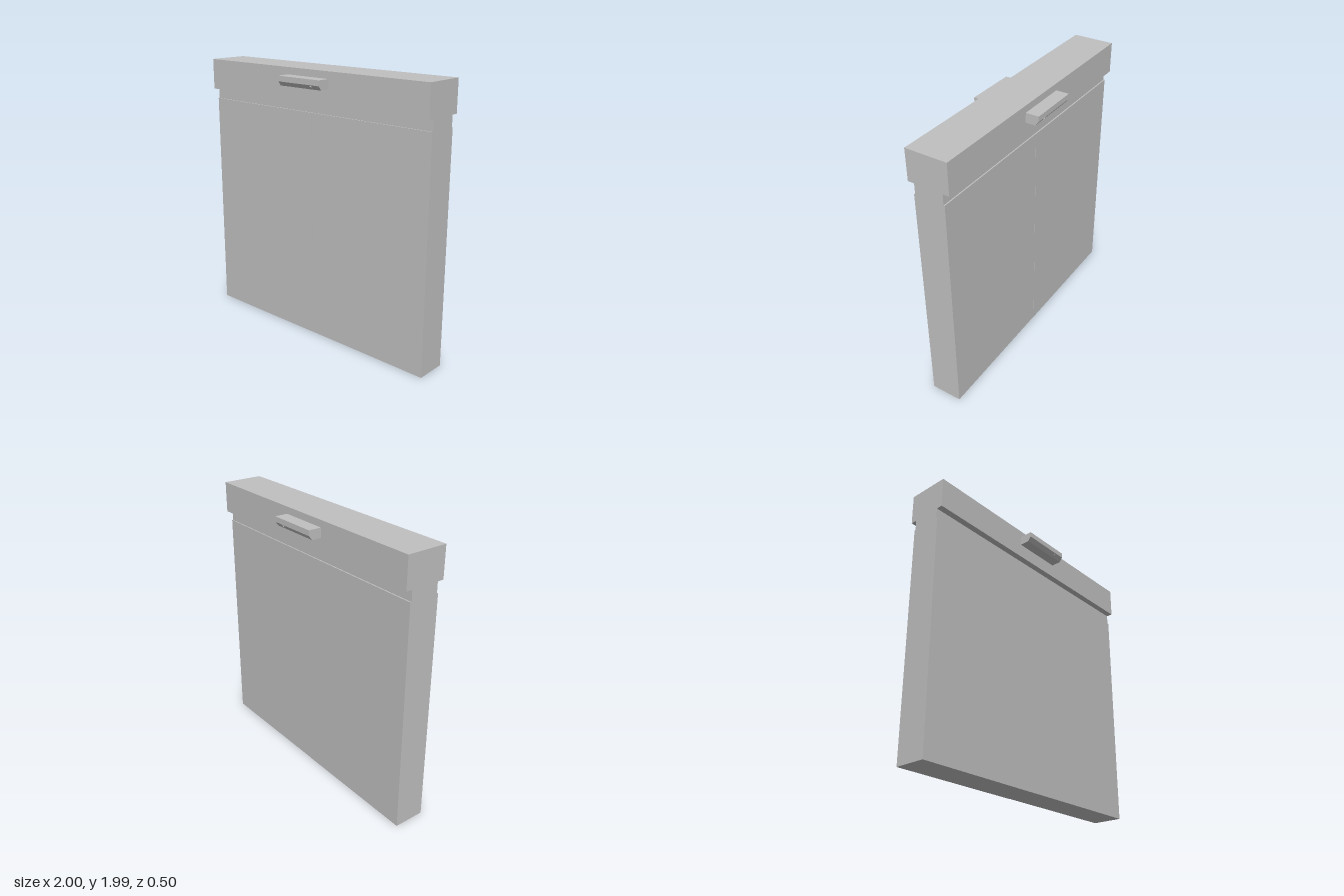
import * as THREE from 'three';

const grey = new THREE.MeshStandardMaterial({ color: 0xc0c0c0 });
grey.name = 'light grey';

// Box from y0 to y1, centred on z = 0
function slab(name, x0, x1, y0, y1, depth) {
  const mesh = new THREE.Mesh(new THREE.BoxGeometry(x1 - x0, y1 - y0, depth), grey);
  mesh.name = name;
  mesh.position.set((x0 + x1) / 2, (y0 + y1) / 2, 0);
  return mesh;
}

// Chamfered sensor housing with a small indicator; side is +1 front, -1 back
function sensor(side) {
  const group = new THREE.Group();
  group.name = side > 0 ? 'frontSensor' : 'backSensor';

  // Profile in (z, y), swept along x
  const points = [[0.15, 1.866], [0.223, 1.866], [0.248, 1.897], [0.248, 1.936], [0.15, 1.936]]
    .map(([z, y]) => new THREE.Vector2(z * side, y));
  const geometry = new THREE.ExtrudeGeometry(new THREE.Shape(points), { depth: 0.38, bevelEnabled: false });
  geometry.rotateY(-Math.PI / 2).translate(0.19, 0, 0);
  const housing = new THREE.Mesh(geometry, grey);
  housing.name = 'sensorHousing';

  // Indicator dot on the sloping face
  const dot = new THREE.Mesh(new THREE.CylinderGeometry(0.01, 0.01, 0.008, 12), grey);
  dot.name = 'indicator';
  dot.position.set(0.11, 1.885, 0.239 * side);
  dot.rotation.x = side * (Math.PI / 2 + 0.68);
  group.add(housing, dot);
  return group;
}

export function createModel() {
  const model = new THREE.Group();
  model.name = 'slidingDoor';
  model.add(
    // Two door leaves meeting in the middle
    slab('rightLeaf', -1, 0, 0, 1.683, 0.229),
    slab('leftLeaf', 0, 1, 0.001, 1.683, 0.227),
    // Recessed rail and overhanging header
    slab('rail', -1, 1, 1.683, 1.761, 0.21),
    slab('header', -1, 1, 1.761, 1.987, 0.304),
    sensor(1),
    sensor(-1),
  );
  return model;
}
